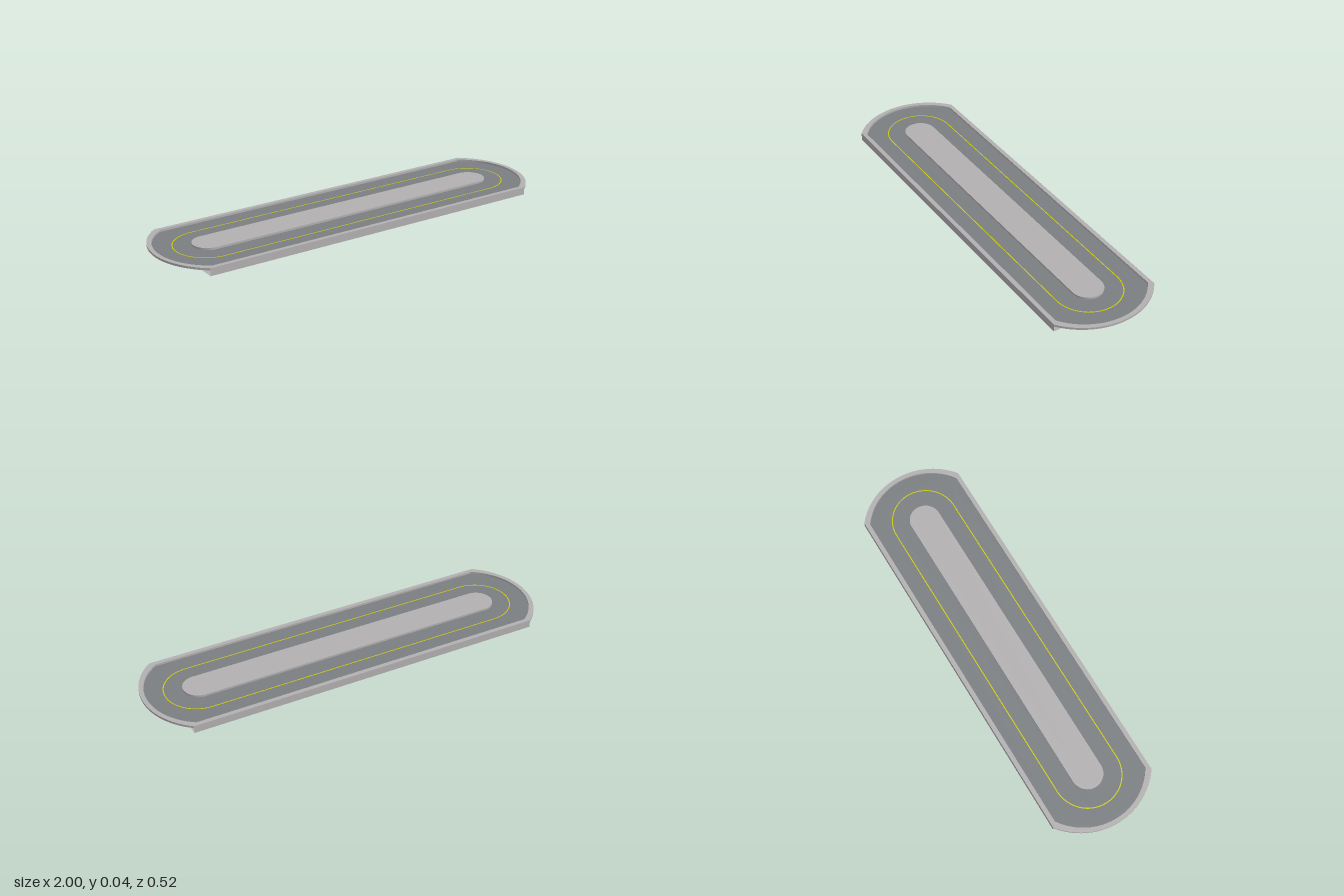
import * as THREE from 'three';
import { toCreasedNormals } from 'three/addons/utils/BufferGeometryUtils.js';

const TOP = 0.037, ROAD = 0.027;
const material = (name, color) => {
  const m = new THREE.MeshStandardMaterial({ color, side: THREE.DoubleSide });
  m.name = name;
  return m;
};

// Counter-clockwise outline: two straight sides joined by circular arc ends
function outline(halfZ, cornerX, endX, steps = 24) {
  const sag = endX - cornerX;
  const r = (halfZ * halfZ + sag * sag) / (2 * sag);
  const a = Math.asin(Math.min(1, halfZ / r));
  const points = [];
  for (const side of [0, Math.PI]) {
    const cx = (endX - r) * Math.cos(side);
    for (let i = 0; i <= steps; i++) {
      const t = side - a + (2 * a * i) / steps;
      points.push(new THREE.Vector2(cx + r * Math.cos(t), r * Math.sin(t)));
    }
  }
  return points;
}

// Horizontal face, optionally with a hole
function face(points, y, hole) {
  const shape = new THREE.Shape(points);
  if (hole) shape.holes.push(new THREE.Path(hole));
  return new THREE.ShapeGeometry(shape).rotateX(-Math.PI / 2).translate(0, y, 0);
}

// Vertical wall following an outline
function wall(points, y0, y1, inward = false) {
  const pos = [];
  points.forEach((p, i) => {
    let a = p, b = points[(i + 1) % points.length];
    if (inward) [a, b] = [b, a];
    pos.push(a.x, y0, -a.y, b.x, y0, -b.y, b.x, y1, -b.y);
    pos.push(a.x, y0, -a.y, b.x, y1, -b.y, a.x, y1, -a.y);
  });
  const g = new THREE.BufferGeometry();
  g.setAttribute('position', new THREE.Float32BufferAttribute(pos, 3));
  g.computeVertexNormals();
  return toCreasedNormals(g, 0.5);
}

export function createModel() {
  const concrete = material('concrete', 0xb3b0b2);
  const asphalt = material('asphalt', 0x7b7f82);
  const yellow = material('yellow paint', 0xcccc00);
  const model = new THREE.Group();
  model.name = 'roadLoop';
  const add = (name, geometry, mat) => {
    const mesh = new THREE.Mesh(geometry, mat);
    mesh.name = name;
    model.add(mesh);
    return mesh;
  };

  const outer = outline(0.262, 0.87, 1);
  const inner = outline(0.241, 0.85, 0.98);
  const island = outline(0.075, 0.735, 0.81);

  // Road deck
  add('road', face(inner, ROAD), asphalt);

  // Raised sidewalk with outer skirt and inner kerb
  add('sidewalk', face(outer, TOP, inner), concrete);
  add('sidewalkSkirt', wall(outer, ROAD, TOP), concrete);
  add('kerb', wall(inner, ROAD, TOP, true), concrete);

  // Central island
  add('islandTop', face(island, TOP), concrete);
  add('islandKerb', wall(island, ROAD, TOP), concrete);

  // Lane line, showing on both faces of the deck
  const lineOuter = outline(0.161, 0.737, 0.898, 32);
  const lineInner = outline(0.156, 0.737, 0.893, 32);
  for (const [name, offset] of [['laneLine', 0.0006], ['laneLineUnderside', -0.0006]]) {
    add(name, face(lineOuter, ROAD + offset, lineInner), yellow);
  }

  // Base: flat bottom and long side walls, open at both ends
  add('basePlate', new THREE.PlaneGeometry(1.74, 0.524).rotateX(Math.PI / 2), concrete);
  for (const s of [1, -1]) {
    const side = new THREE.PlaneGeometry(1.74, ROAD);
    if (s < 0) side.rotateY(Math.PI);
    add(s > 0 ? 'frontBaseWall' : 'backBaseWall', side, concrete).position.set(0, ROAD / 2, s * 0.262);
  }
  return model;
}
